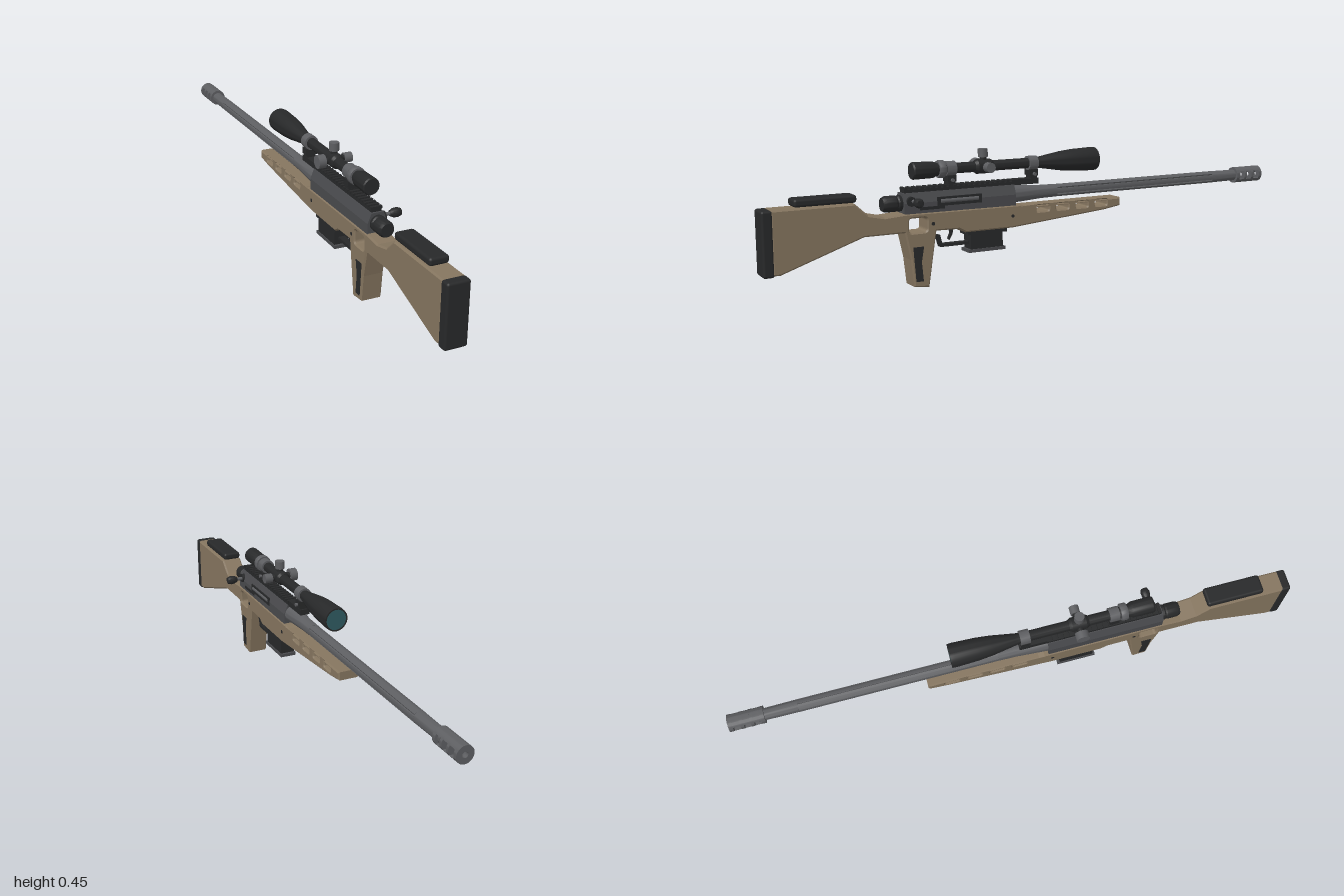
import * as THREE from 'three';
import { toCreasedNormals } from 'three/addons/utils/BufferGeometryUtils.js';
import { RoundedBoxGeometry } from 'three/addons/geometries/RoundedBoxGeometry.js';

const mat = (name, color) => Object.assign(new THREE.MeshStandardMaterial({ color }), { name });
const V = (pts) => pts.map(([x, y]) => new THREE.Vector2(x, y));

export function createModel() {
  const tan = mat('tan stock', 0x85755f);
  const black = mat('black', 0x272829);
  const steel = mat('steel grey', 0x5d5e61);
  const dark = mat('dark receiver grey', 0x494a4d);
  const glass = mat('teal glass', 0x2f5a60);

  const model = new THREE.Group();
  const body = new THREE.Group(); // everything is symmetric about the bore line
  body.name = 'rifle';
  body.position.x = -0.02;
  model.add(body);

  const add = (name, geo, m, x = 0, y = 0, z = 0) => {
    const mesh = new THREE.Mesh(geo, m);
    mesh.name = name;
    mesh.position.set(x, y, z);
    body.add(mesh);
    return mesh;
  };
  const box = (name, m, w, h, d, x, y, z) => add(name, new THREE.BoxGeometry(w, h, d), m, x, y, z);
  const round = (name, m, w, h, d, r, x, y, z) => add(name, new RoundedBoxGeometry(w, h, d, 2, r), m, x, y, z);
  // turned part along z from [radius, z] pairs, z rising
  const turned = (name, m, y, pts) => {
    const geo = new THREE.LatheGeometry(V(pts), 32).rotateX(Math.PI / 2);
    return add(name, toCreasedNormals(geo, 0.5), m, 0, y, 0);
  };
  // cylinder along x
  const pin = (name, m, r, x0, x1, y, z, r1 = r) =>
    add(name, new THREE.CylinderGeometry(r1, r, x1 - x0, 24).rotateZ(-Math.PI / 2), m, (x0 + x1) / 2, y, z);
  // side profile in (z, y), given thickness across x
  const side = (name, m, shape, width, bevel = 0) => {
    const geo = new THREE.ExtrudeGeometry(shape, {
      depth: width - 2 * bevel, bevelEnabled: bevel > 0, bevelThickness: bevel,
      bevelSize: bevel, bevelOffset: -bevel, bevelSegments: 1, curveSegments: 8,
    });
    geo.translate(0, 0, -(width - 2 * bevel) / 2).rotateY(-Math.PI / 2);
    return add(name, geo, m);
  };
  // cross-section in (x, y) extruded from z0 to z1
  const along = (name, m, shape, z0, z1, y = 0) =>
    add(name, new THREE.ExtrudeGeometry(shape, { depth: z1 - z0, bevelEnabled: false, curveSegments: 24 }), m, 0, y, z0);
  const slot = (z0, z1, y0, y1, r) => {
    const p = new THREE.Path();
    p.moveTo(z0 + r, y0).lineTo(z1 - r, y0).quadraticCurveTo(z1, y0, z1, y0 + r);
    p.lineTo(z1, y1 - r).quadraticCurveTo(z1, y1, z1 - r, y1).lineTo(z0 + r, y1);
    p.quadraticCurveTo(z0, y1, z0, y1 - r).lineTo(z0, y0 + r).quadraticCurveTo(z0, y0, z0 + r, y0);
    return p;
  };

  // Stock with pistol grip, thumbhole and fore-end slots
  const stock = new THREE.Shape(V([
    [0.97, 0.303], [0.7, 0.303], [0.655, 0.262], [0.6, 0.25], [0.53, 0.255], [0.1, 0.252],
    [0.08, 0.246], [-0.318, 0.246], [-0.318, 0.216], [-0.25, 0.206], [0.13, 0.174], [0.31, 0.174],
    [0.335, 0.188], [0.417, 0.19], [0.446, 0.002], [0.5, 0.008], [0.51, 0.1], [0.53, 0.192],
    [0.67, 0.192], [0.945, 0.098], [0.97, 0.098],
  ]));
  stock.holes.push(slot(0.45, 0.515, 0.19, 0.238, 0.012));
  for (let i = 0; i < 4; i++) stock.holes.push(slot(-0.015 - i * 0.081, 0.034 - i * 0.081, 0.222, 0.243, 0.006));
  side('stock', tan, stock, 0.075, 0.005);
  round('buttPad', black, 0.077, 0.21, 0.036, 0.008, 0, 0.198, 0.982);
  round('cheekRest', black, 0.066, 0.026, 0.205, 0.009, 0, 0.318, 0.793);
  side('gripPanels', black, new THREE.Shape(V([
    [0.465, 0.142], [0.503, 0.142], [0.5, 0.1], [0.494, 0.025], [0.468, 0.025], [0.474, 0.09],
  ])), 0.078);
  const stud = add('slingStud', new THREE.CylinderGeometry(0.009, 0.009, 0.012, 16), black, 0, 0.206, -0.262);
  stud.scale.z = 0.8;
  for (const z of [0.43, 0.13]) pin('stockScrew', black, 0.006, -0.0385, 0.0385, 0.215, z);

  // Magazine, trigger and guard
  box('magazineWell', black, 0.06, 0.016, 0.15, 0, 0.17, 0.225);
  box('magazine', black, 0.052, 0.07, 0.122, 0, 0.142, 0.225);
  box('magazineBase', dark, 0.058, 0.011, 0.14, 0, 0.106, 0.225);
  const guard = new THREE.Shape(V([
    [0.405, 0.17], [0.394, 0.17], [0.386, 0.138], [0.28, 0.138], [0.28, 0.128], [0.392, 0.128],
  ]));
  side('triggerGuard', black, guard, 0.024);
  side('trigger', black, new THREE.Shape(V([
    [0.355, 0.195], [0.342, 0.195], [0.345, 0.168], [0.357, 0.148], [0.361, 0.152], [0.353, 0.17],
  ])), 0.012);

  // Receiver with ejection port and bolt
  const rec = new THREE.Shape(V([
    [-0.034, 0.25], [0.034, 0.25], [0.034, 0.288], [0.021, 0.321], [-0.021, 0.321], [-0.034, 0.288],
  ]));
  along('receiver', dark, rec, 0.115, 0.53);
  box('ejectionPort', black, 0.004, 0.03, 0.165, 0.033, 0.287, 0.33);
  add('boltBody', new THREE.CylinderGeometry(0.009, 0.009, 0.14, 16).rotateX(Math.PI / 2), steel, 0.029, 0.288, 0.33);
  box('boltRaceway', black, 0.003, 0.01, 0.09, 0.034, 0.268, 0.43);
  turned('boltShroud', black, 0.287, [
    [0, 0.525], [0.026, 0.525], [0.027, 0.54], [0.024, 0.545], [0.027, 0.55], [0.027, 0.585], [0.022, 0.596], [0, 0.596],
  ]);
  pin('boltCollar', black, 0.016, 0.02, 0.038, 0.294, 0.505);
  pin('boltStem', steel, 0.006, 0.03, 0.066, 0.295, 0.5);
  const knob = new THREE.LatheGeometry(V([
    [0, 0], [0.009, 0], [0.015, 0.012], [0.016, 0.026], [0.012, 0.038], [0, 0.041],
  ]), 20).rotateZ(-Math.PI / 2);
  add('boltKnob', toCreasedNormals(knob, 0.6), black, 0.059, 0.295, 0.5);

  // Toothed rail
  box('railBase', black, 0.036, 0.014, 0.41, 0, 0.324, 0.318);
  for (let i = 0; i < 21; i++) box('railTooth', black, 0.04, 0.008, 0.011, 0, 0.334, 0.118 + i * 0.02);

  // Barrel: smooth ends and a fluted middle
  turned('barrelShank', steel, 0.286, [[0, -0.06], [0.0225, -0.06], [0.0235, 0], [0.029, 0.085], [0.031, 0.12], [0, 0.12]]);
  const flutes = new THREE.Shape();
  for (let i = 0; i < 48; i++) {
    const a = (i / 48) * Math.PI * 2, r = i % 8 === 4 ? 0.018 : 0.0222;
    flutes[i ? 'lineTo' : 'moveTo'](Math.cos(a) * r, Math.sin(a) * r);
  }
  const fluted = along('flutedBarrel', steel, flutes, -0.76, -0.06, 0.286);
  fluted.geometry = toCreasedNormals(fluted.geometry, 0.3);
  turned('barrelTip', steel, 0.286, [[0, -0.9], [0.0205, -0.9], [0.022, -0.76], [0, -0.76]]);

  // Muzzle brake: solid rings, and split caps where the ports pass through
  const R = 0.03, h = 0.016, a = Math.asin(h / R);
  const ring = new THREE.Shape().absarc(0, 0, R, 0, Math.PI * 2);
  ring.holes.push(new THREE.Path().absarc(0, 0, 0.01, 0, Math.PI * 2, true));
  const cap = new THREE.Shape().absarc(0, 0, R, a, Math.PI - a);
  const lowCap = new THREE.Shape().absarc(0, 0, R, Math.PI + a, Math.PI * 2 - a);
  const cuts = [-1, -0.986, -0.96, -0.949, -0.925, -0.914, -0.89, -0.876];
  for (let i = 0; i < 7; i++) {
    const parts = i % 2 ? [cap, lowCap] : [ring];
    for (const s of parts) {
      const m = along('muzzleBrake', steel, s, cuts[i], cuts[i + 1], 0.286);
      m.geometry = toCreasedNormals(m.geometry, 0.5);
    }
  }

  // Scope
  const sy = 0.39;
  turned('scopeBody', black, sy, [
    [0, -0.222], [0.036, -0.222], [0.036, -0.225], [0.041, -0.225], [0.042, -0.21], [0.039, -0.13],
    [0.034, -0.08], [0.021, 0], [0.018, 0.02], [0.018, 0.33], [0.022, 0.4], [0.028, 0.415],
    [0.029, 0.485], [0.026, 0.49], [0, 0.49],
  ]);
  turned('frontLens', glass, sy, [[0, -0.2235], [0.037, -0.2235], [0.037, -0.221], [0, -0.221]]);
  turned('zoomRing', steel, sy, [[0, 0.372], [0.028, 0.372], [0.03, 0.376], [0.03, 0.392], [0.028, 0.396], [0, 0.396]]);
  turned('turretHousing', black, sy, [[0, 0.19], [0.019, 0.19], [0.025, 0.2], [0.025, 0.25], [0.019, 0.26], [0, 0.26]]);
  add('topTurret', new THREE.CylinderGeometry(0.017, 0.017, 0.028, 24), steel, 0, 0.436, 0.225);
  add('topTurretNeck', new THREE.CylinderGeometry(0.012, 0.012, 0.02, 20), black, 0, 0.415, 0.225);
  pin('windageTurret', steel, 0.017, 0.034, 0.062, sy, 0.225);
  pin('focusTurret', steel, 0.023, -0.062, -0.036, sy, 0.225);
  pin('turretNeck', black, 0.012, -0.04, 0.04, sy, 0.225);

  // Scope rings and feet on the rail
  for (const z of [0.035, 0.35]) {
    turned('scopeRing', steel, sy, [[0, z - 0.017], [0.025, z - 0.017], [0.025, z + 0.017], [0, z + 0.017]]);
    box('ringFoot', black, 0.04, 0.022, 0.032, 0, 0.358, z);
    box('ringClamp', black, 0.032, 0.022, 0.026, 0, 0.34, z);
    pin('clampScrew', steel, 0.006, 0.018, 0.028, 0.353, z);
  }
  // rail riser under the front ring
  box('railFront', black, 0.034, 0.02, 0.1, 0, 0.328, 0.065);
  return model;
}
